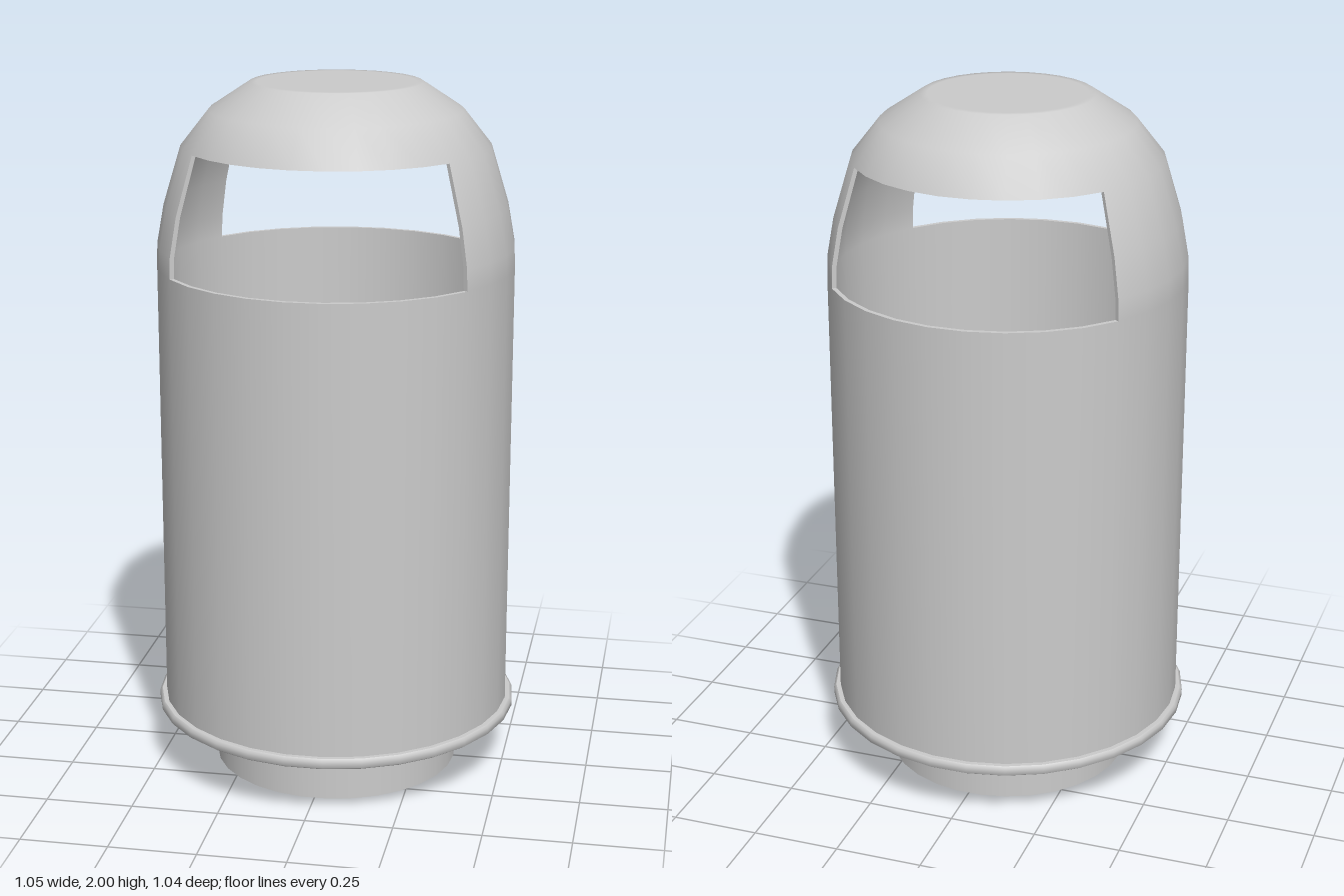
import * as THREE from 'three';
import { mergeGeometries } from 'three/addons/utils/BufferGeometryUtils.js';

const SIDES = 30;
const STEP = (Math.PI * 2) / SIDES;
const SILL = 1.49, HEAD = 1.825;      // bottom and top of the two openings
const HALF = STEP * 4.5;              // half the angle of an opening

const material = new THREE.MeshStandardMaterial({ color: 0xcccccc });
const thin = new THREE.MeshStandardMaterial({ color: 0xcccccc, side: THREE.DoubleSide });

const toPoints = (list) => list.map(([r, y]) => new THREE.Vector2(r, y));
const lathe = (list) => new THREE.LatheGeometry(toPoints(list), SIDES, Math.PI / 2);

// Each strip is smooth in itself; the edges between strips stay sharp
const turned = (...strips) => mergeGeometries(strips.map(lathe));

// Full turned skin with the front and back openings left out
function skin(list) {
  const geometry = lathe(list);
  const index = geometry.index.array;
  const rows = list.length - 1;
  const kept = [];
  for (let i = 0; i < SIDES; i++) {
    const facing = Math.abs(Math.cos(Math.PI / 2 + (i + 0.5) * STEP)) > Math.cos(HALF);
    for (let j = 0; j < rows; j++) {
      const y = (list[j][1] + list[j + 1][1]) / 2;
      if (facing && y > SILL && y < HEAD) continue;
      const k = (i * rows + j) * 6;
      kept.push(...index.slice(k, k + 6));
    }
  }
  geometry.setIndex(kept);
  return geometry;
}

export function createModel() {
  const model = new THREE.Group();
  const add = (name, geometry, mat = material) => {
    const mesh = new THREE.Mesh(geometry, mat);
    mesh.name = name;
    model.add(mesh);
  };

  // Foot under the can
  add('foot', turned(
    [[0, 0], [0.355, 0]],
    [[0.355, 0], [0.355, 0.165]],
  ));

  // Projecting lip at the bottom, with a slightly sloping underside
  add('bottomLip', turned(
    [[0.35, 0.155], [0.515, 0.168]],
    [[0.515, 0.168], [0.525, 0.175], [0.525, 0.193], [0.518, 0.2]],
    [[0.518, 0.2], [0.5, 0.2]],
  ));

  // Outer and inner wall, running on into the dome
  const sideOuter = [[0.505, SILL], [0.503, 1.55], [0.483, 1.66], [0.433, HEAD]];
  const sideInner = [[0.492, SILL], [0.49, 1.55], [0.47, 1.66], [0.421, HEAD]];
  add('outerShell', skin([[0.505, 0.19], ...sideOuter,
    [0.354, 1.925], [0.24, 2], [0.22, 2], [0, 2]]));
  add('innerShell', skin([[0.492, 0.19], ...sideInner,
    [0.345, 1.913], [0.235, 1.987], [0, 1.987]].reverse()));

  // Floor inside the can
  add('floor', turned([[0.495, 0.19], [0, 0.19]]));

  // Cut edges around the openings
  for (const [side, turn] of [['front', 0], ['back', Math.PI]]) {
    for (const [part, a, b] of [['Sill', sideOuter[0], sideInner[0]], ['Head', sideInner[3], sideOuter[3]]]) {
      add(side + part, new THREE.LatheGeometry(toPoints([a, b]), 9, turn - HALF, HALF * 2), thin);
    }
    for (const [part, sign] of [['LeftJamb', 1], ['RightJamb', -1]]) {
      const outline = new THREE.Shape(toPoints([...sideOuter, ...[...sideInner].reverse()]));
      const jamb = new THREE.ShapeGeometry(outline);
      jamb.rotateY((turn ? Math.PI - sign * HALF : sign * HALF) - Math.PI / 2);
      add(side + part, jamb, thin);
    }
  }

  return model;
}
